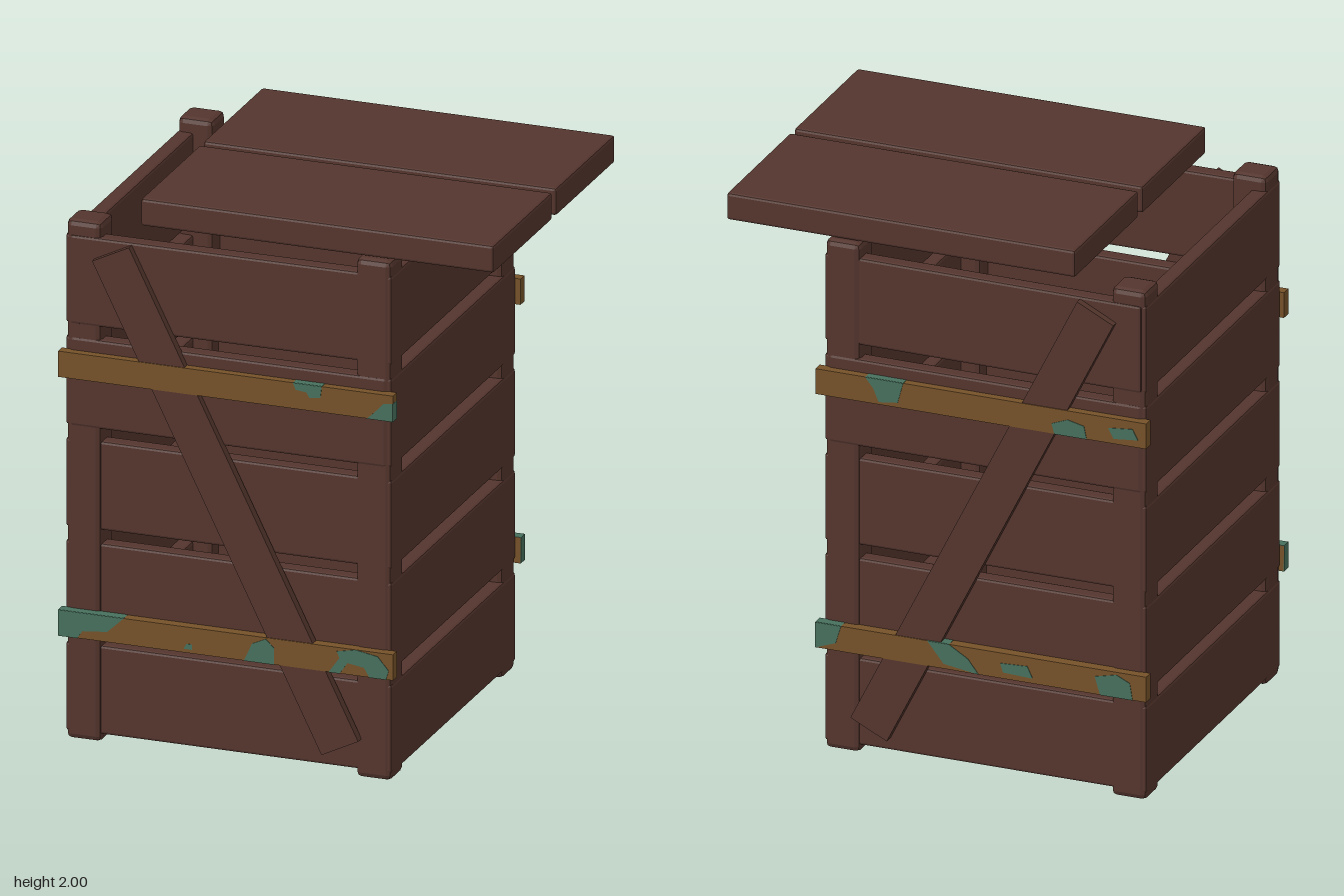
import * as THREE from 'three';
import { RoundedBoxGeometry } from 'three/addons/geometries/RoundedBoxGeometry.js';

const wood = new THREE.MeshStandardMaterial({ color: 0x54352d });
wood.name = 'darkWood';
const brass = new THREE.MeshStandardMaterial({ color: 0x765229 });
brass.name = 'agedBrass';
const patina = new THREE.MeshStandardMaterial({ color: 0x47705d });
patina.name = 'greenPatina';

const CX = -0.18; // centre of the crate body, which sits left of the open lid

function add(parent, name, geometry, material, x, y, z) {
  const mesh = new THREE.Mesh(geometry, material);
  mesh.name = name;
  mesh.position.set(x, y, z);
  parent.add(mesh);
  return mesh;
}

// Board with small flat chamfers
function board(w, h, d, bevel = 0.01) {
  const g = new RoundedBoxGeometry(w, h, d, 1, bevel);
  g.computeVertexNormals();
  return g;
}

const STRAP = { x0: -0.79, x1: 0.435, h: 0.094, zIn: 0.59, zOut: 0.628 };

// Thin stain on a strap face; where it meets the strap's rim it wraps around it
function stain(parent, points, y, side) {
  const t = 0.002, half = STRAP.h / 2, depth = STRAP.zOut - STRAP.zIn;
  const zMid = side * (STRAP.zIn + STRAP.zOut) / 2;
  const shape = new THREE.Shape(points.map(([x, v]) => new THREE.Vector2(x, v * half)));
  const face = new THREE.ExtrudeGeometry(shape, { depth: t, bevelEnabled: false });
  add(parent, 'patinaStain', face, patina, 0, y, side > 0 ? STRAP.zOut : -STRAP.zOut - t);
  points.forEach(([ax, av], i) => {
    const [bx, bv] = points[(i + 1) % points.length];
    if (av === bv && Math.abs(av) === 1) {
      add(parent, 'patinaRim', new THREE.BoxGeometry(Math.abs(bx - ax), t, depth), patina,
        (ax + bx) / 2, y + av * half, zMid);
    } else if (ax === bx && (ax === STRAP.x0 || ax === STRAP.x1)) {
      add(parent, 'patinaRim', new THREE.BoxGeometry(t, Math.abs(bv - av) * half, depth), patina,
        ax, y + (av + bv) / 2 * half, zMid);
    }
  });
}

// Stain outlines: x, and height across the strap from -1 to 1
const STRAPS = [
  { side: 1, y: 1.376, stains: [
    [[0.07, 1], [0.08, 0.5], [0.12, 0.4], [0.13, 0], [0.17, 0.1], [0.175, 1]],
    [[0.34, -1], [0.435, -1], [0.435, 0.4], [0.40, 0.3], [0.37, -0.4]],
  ] },
  { side: 1, y: 0.432, stains: [
    [[-0.79, -1], [-0.72, -1], [-0.70, -0.4], [-0.61, -0.2], [-0.56, 0.8], [-0.55, 1], [-0.79, 1]],
    [[-0.11, -1], [0, -1], [0, 0.3], [-0.03, 0.9], [-0.08, 0.4]],
    [[0.20, -1], [0.24, -1], [0.27, -0.1], [0.33, -0.3], [0.35, -1], [0.41, -1], [0.42, -0.3],
      [0.38, 0.7], [0.30, 1], [0.23, 0.7], [0.24, 0.2]],
    [[-0.33, -0.7], [-0.30, -0.7], [-0.30, -0.3], [-0.32, -0.3]],
  ] },
  { side: -1, y: 1.376, stains: [
    [[0.11, 1], [0.13, -0.6], [0.2, -0.8], [0.22, 0.2], [0.25, 1]],
    [[-0.57, -1], [-0.45, -1], [-0.44, -0.2], [-0.5, 0.3], [-0.56, 0]],
    [[-0.76, -0.4], [-0.67, -0.6], [-0.65, 0.2], [-0.74, 0.4]],
  ] },
  { side: -1, y: 0.432, stains: [
    [[0.34, 1], [0.36, -0.4], [0.435, -1], [0.435, 1]],
    [[-0.17, -1], [-0.04, -0.6], [0.02, 1], [-0.06, 1], [-0.13, 0.1]],
    [[-0.37, -0.6], [-0.26, -0.5], [-0.25, 0.2], [-0.35, 0.3]],
    [[-0.74, -1], [-0.62, -1], [-0.60, 0.4], [-0.68, 0.8], [-0.73, 0.3]],
  ] },
];

export function createModel() {
  const crate = new THREE.Group();
  crate.name = 'woodenCrate';

  // Corner posts
  for (const sx of [-1, 1]) for (const sz of [-1, 1]) {
    add(crate, 'cornerPost', board(0.13, 1.895, 0.125, 0.02), wood, CX + sx * 0.53, 0.9475, sz * 0.5325);
  }

  // Five planks on each wall, leaving narrow gaps; some sit slightly proud
  const faceZ = [0.586, 0.586, 0.586, 0.598, 0.593];
  for (let i = 0; i < 5; i++) {
    const y = 0.19 + i * 0.3725;
    for (const s of [-1, 1]) {
      const front = add(crate, s > 0 ? 'frontPlank' : 'backPlank', board(1.16, 0.325, 0.06),
        wood, CX, y, s * (faceZ[i] - 0.03));
      if (i === 4) front.rotation.y = s * 0.012;
      add(crate, 'sidePlank', board(0.06, 0.325, 1.184), wood, CX + s * 0.567, y, 0);
    }
  }

  // Diagonal braces on front and back
  for (const s of [-1, 1]) {
    const brace = add(crate, 'diagonalBrace', new THREE.BoxGeometry(0.15, 1.887, 0.033), wood,
      CX, 0.955, s * 0.6085);
    brace.rotation.z = 0.461;
  }

  // Metal straps with patina
  for (const { side, y, stains } of STRAPS) {
    const strap = new THREE.Group();
    strap.name = 'metalStrap';
    const { x0, x1, h, zIn, zOut } = STRAP;
    add(strap, 'strapBar', new THREE.BoxGeometry(x1 - x0, h, zOut - zIn), brass,
      (x0 + x1) / 2, y, side * (zIn + zOut) / 2);
    for (const points of stains) stain(strap, points, y, side);
    crate.add(strap);
  }

  // Two loose lid boards, slid to one side
  for (const z of [-0.3, 0.298]) {
    add(crate, 'lidBoard', board(1.292, 0.1, 0.562), wood, 0.139, 1.95, z);
  }
  return crate;
}
